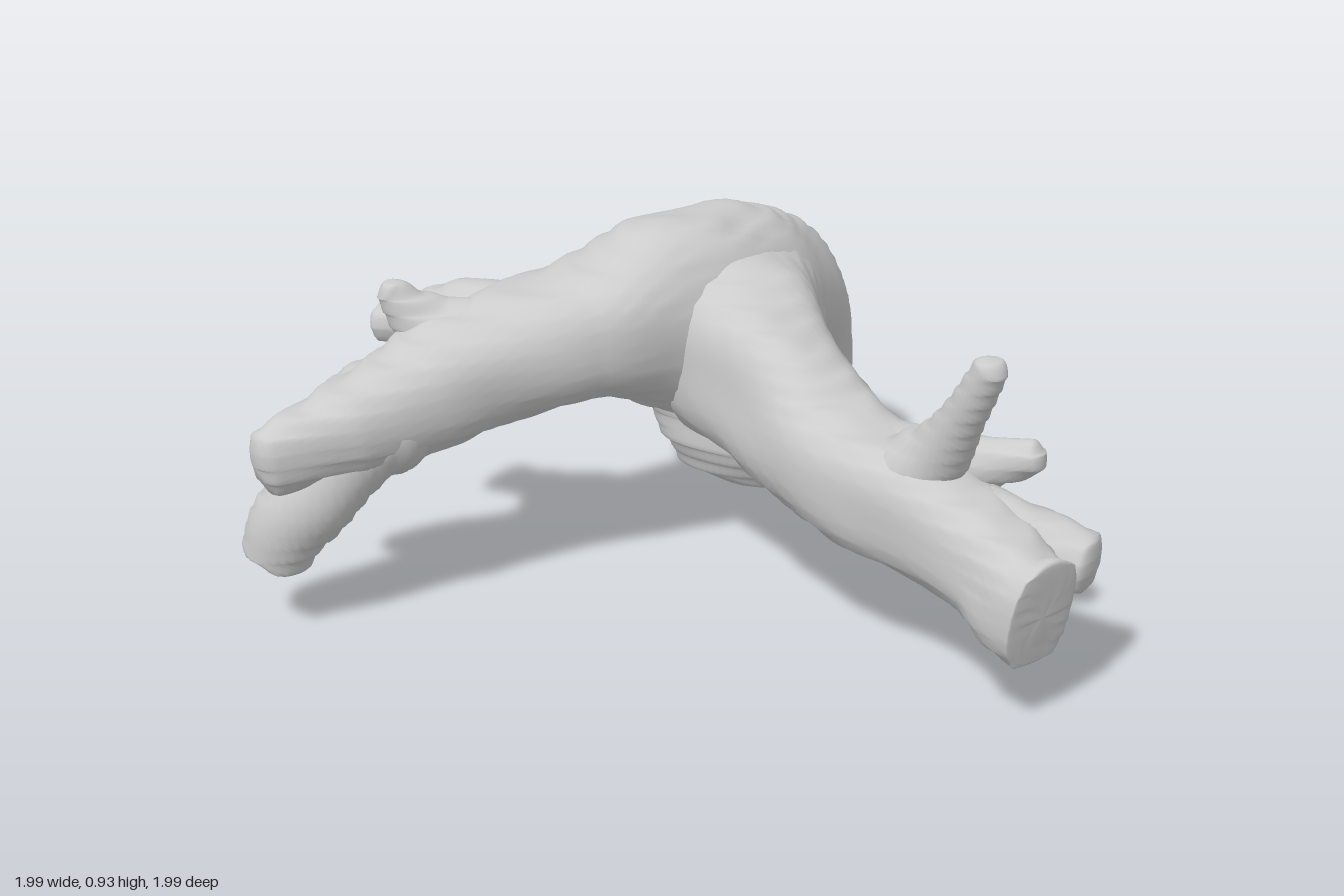
import * as THREE from 'three';

const material = new THREE.MeshStandardMaterial({ color: 0xcccccc, roughness: 0.9 });

// Sweeps a lumpy round section along points [x, y, z, radius, width scale].
// startCap and endCap give the cap bulge as a share of the radius (0 = flat);
// square above 0 makes the section boxier.
function limb(name, pts, { startCap = 0.4, endCap = 0.6, rings = 40, sides = 28, square = 0 } = {}) {
  const curve = new THREE.CatmullRomCurve3(pts.map(p => new THREE.Vector3(p[0], p[1], p[2])));
  const sizes = new THREE.CatmullRomCurve3(pts.map(p => new THREE.Vector3(p[3], p[4] ?? 1, 0)));
  const first = pts[0], last = pts[pts.length - 1];
  const ref = Math.abs(last[0] - first[0]) > Math.abs(last[2] - first[2])
    ? new THREE.Vector3(0, 0, 1) : new THREE.Vector3(1, 0, 0);

  // Stations along the limb, with rounded closing rings at both ends
  const stations = [];
  const capSteps = 6;
  for (let i = 0; i <= capSteps; i++) {
    const a = (i / capSteps) * Math.PI / 2;
    stations.push({ t: 0, scale: Math.sin(a), push: -startCap * Math.cos(a) });
  }
  for (let i = 1; i < rings; i++) stations.push({ t: i / rings, scale: 1, push: 0 });
  for (let i = capSteps; i >= 0; i--) {
    const a = (i / capSteps) * Math.PI / 2;
    stations.push({ t: 1, scale: Math.sin(a), push: endCap * Math.cos(a) });
  }

  const pos = [], index = [];
  for (const { t, scale, push } of stations) {
    const c = curve.getPoint(t), T = curve.getTangent(t), size = sizes.getPoint(t);
    const S = ref.clone().addScaledVector(T, -ref.dot(T)).normalize();
    const N = T.clone().cross(S);
    const r = size.x;
    c.addScaledVector(T, push * r);
    for (let j = 0; j < sides; j++) {
      const a = (j / sides) * Math.PI * 2;
      const k = r * scale * (1 + square * Math.sin(2 * a) ** 2);
      const p = c.clone()
        .addScaledVector(S, Math.cos(a) * k * size.y)
        .addScaledVector(N, Math.sin(a) * k);
      // Bark lumps
      const n = Math.sin(p.x * 17 + p.y * 9) + Math.sin(p.y * 21 - p.z * 13) + Math.sin(p.z * 19 + p.x * 11);
      p.addScaledVector(p.clone().sub(c), n * 0.02);
      // Shallow level terraces, and a flat foot on the ground
      p.y -= 0.005 * Math.sin(p.y * Math.PI * 2 / 0.04);
      pos.push(p.x, Math.max(0, p.y), p.z);
    }
  }
  for (let i = 0; i < stations.length - 1; i++) {
    for (let j = 0; j < sides; j++) {
      const k = (j + 1) % sides;
      const a = i * sides + j, b = i * sides + k, c = a + sides, d = b + sides;
      index.push(a, b, c, b, d, c);
    }
  }
  const geo = new THREE.BufferGeometry();
  geo.setAttribute('position', new THREE.Float32BufferAttribute(pos, 3));
  geo.setIndex(index);
  geo.computeVertexNormals();
  const mesh = new THREE.Mesh(geo, material);
  mesh.name = name;
  return mesh;
}

export function createModel() {
  const group = new THREE.Group();
  group.name = 'forkedBranch';

  // Thick trunk that arches over and runs on into the front limb
  group.add(limb('trunkAndFrontLimb', [
    [-0.58, 0.02, -0.69, 0.18],
    [-0.57, 0.11, -0.70, 0.24],
    [-0.575, 0.26, -0.71, 0.28, 1.03],
    [-0.535, 0.45, -0.63, 0.29, 0.98],
    [-0.425, 0.58, -0.45, 0.285, 0.87],
    [-0.35, 0.64, -0.24, 0.28, 0.76],
    [-0.40, 0.68, -0.02, 0.24, 0.86],
    [-0.485, 0.665, 0.17, 0.165, 1.15],
    [-0.585, 0.63, 0.37, 0.155, 1.1],
    [-0.66, 0.57, 0.57, 0.14],
    [-0.715, 0.53, 0.77, 0.115],
    [-0.775, 0.49, 0.95, 0.09, 0.7],
  ], { startCap: 0.15, endCap: 0.5, rings: 150, sides: 56, square: 0.06 }));

  // Side limb, peeling away from the trunk and ending in a flat cut
  group.add(limb('sideLimb', [
    [-0.47, 0.53, -0.56, 0.19],
    [-0.35, 0.59, -0.36, 0.235, 0.95],
    [-0.19, 0.59, -0.165, 0.235, 0.9],
    [0.0, 0.535, -0.075, 0.19, 0.85],
    [0.2, 0.46, 0.005, 0.165, 0.95],
    [0.4, 0.415, 0.05, 0.155, 0.97],
    [0.6, 0.375, 0.075, 0.14, 0.95],
    [0.8, 0.335, 0.135, 0.12],
    [0.91, 0.295, 0.195, 0.125, 0.85],
    [0.965, 0.285, 0.205, 0.135, 0.8],
  ], { endCap: 0.04, rings: 110, sides: 48, square: 0.1 }));

  // Twigs on the side limb
  group.add(limb('tallTwig', [
    [0.46, 0.44, 0.05, 0.13], [0.59, 0.56, 0.075, 0.08], [0.68, 0.69, 0.105, 0.053], [0.755, 0.82, 0.12, 0.042],
  ]));
  group.add(limb('shortTwig', [
    [0.32, 0.45, 0.01, 0.12], [0.56, 0.49, -0.03, 0.085], [0.77, 0.545, -0.065, 0.042],
  ]));
  group.add(limb('endTwig', [
    [0.50, 0.39, 0.05, 0.12], [0.76, 0.365, 0.03, 0.105], [0.95, 0.335, -0.015, 0.08],
  ], { endCap: 0.35 }));

  // Twigs on the front limb
  group.add(limb('outerTwig', [
    [-0.58, 0.65, 0.27, 0.15], [-0.76, 0.68, 0.31, 0.105], [-0.88, 0.66, 0.32, 0.07, 1.1], [-0.965, 0.645, 0.32, 0.06, 1.3],
  ], { endCap: 0.45 }));
  group.add(limb('knot', [
    [-0.62, 0.64, 0.38, 0.165], [-0.71, 0.72, 0.46, 0.085], [-0.765, 0.815, 0.53, 0.036],
  ]));
  group.add(limb('hangingTwig', [
    [-0.66, 0.59, 0.55, 0.125], [-0.81, 0.54, 0.63, 0.085], [-0.92, 0.42, 0.67, 0.048],
  ]));
  group.add(limb('lowerFork', [
    [-0.65, 0.57, 0.54, 0.12], [-0.715, 0.48, 0.70, 0.12], [-0.785, 0.35, 0.81, 0.108],
    [-0.835, 0.27, 0.855, 0.098], [-0.87, 0.19, 0.87, 0.09],
  ], { endCap: 0.15 }));

  return group;
}
